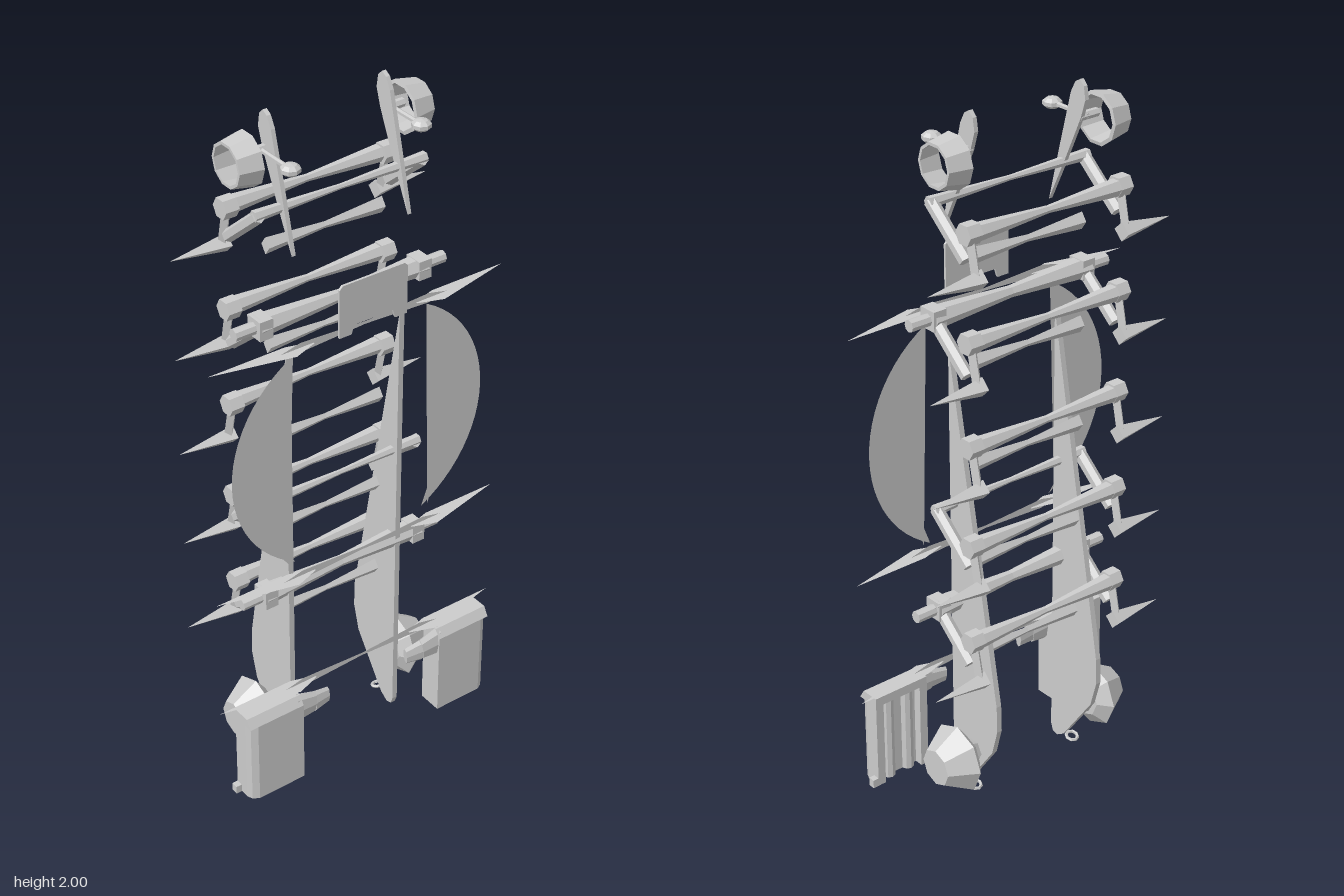
import * as THREE from 'three';

const solid = new THREE.MeshStandardMaterial({ color: 0xcccccc, flatShading: true });
const sheet = new THREE.MeshStandardMaterial({ color: 0xcccccc, flatShading: true, side: THREE.DoubleSide });
const V = (x, y, z) => new THREE.Vector3(x, y, z);
const UP = V(0, 1, 0);

export function createModel() {
  const model = new THREE.Group();

  function add(name, geometry, material = solid) {
    const mesh = new THREE.Mesh(geometry, material);
    mesh.name = name;
    model.add(mesh);
    return mesh;
  }

  // Tapered beam from point a to point b
  function beam(name, a, b, ra, rb, sides = 6, flat = 1) {
    const d = b.clone().sub(a);
    const g = new THREE.CylinderGeometry(rb, ra, d.length(), sides);
    g.scale(1, 1, flat);
    const m = add(name, g);
    m.position.copy(a).add(b).multiplyScalar(0.5);
    m.quaternion.setFromUnitVectors(UP, d.normalize());
    return m;
  }

  // Bow-tie rung: thick at both ends, thin in the middle
  function rung(name, y, z, half, rEnd, rMid, sides = 6, flat = 1) {
    for (const s of [-1, 1]) beam(name, V(s * half, y, z), V(0, y, z), rEnd, rMid, sides, flat);
  }

  // Flat profile drawn in (z, y), given thickness along x
  function sidePlate(name, pts, x, thick) {
    const g = new THREE.ExtrudeGeometry(new THREE.Shape(pts.map(p => new THREE.Vector2(...p))), { depth: thick, bevelEnabled: false });
    g.translate(0, 0, -thick / 2).rotateY(-Math.PI / 2);
    add(name, g).position.x = x;
  }

  // Five repeating rung units
  for (let i = 0; i < 5; i++) {
    const y = 0.565 + 0.29 * i;
    rung('rearRung', y, -0.125, 0.24, 0.025, 0.01);
    rung('innerRung', y - 0.1, -0.05, 0.18, 0.024, 0.01, 4, 0.7);
    for (const s of [-1, 1]) {
      const x = s * 0.245;
      // link with a hexagonal head and a spike at its foot
      beam('linkHead', V(x - 0.02, y, -0.12), V(x + 0.02, y, -0.12), 0.03, 0.03);
      beam('link', V(x, y, -0.12), V(x, y - 0.115, -0.145), 0.014, 0.014, 4);
      beam('spike', V(s * 0.23, y - 0.115, -0.146), V(s * 0.395, y - 0.115, -0.146), 0.027, 0.0005, 4);
    }
  }

  // Front rungs with diagonal struts; two of them are heavy and carry pegs
  for (const [y, heavy] of [[0.605, true], [0.905, false], [1.455, true], [1.765, false]]) {
    rung('frontRung', y, 0.02, 0.26, heavy ? 0.032 : 0.016, heavy ? 0.016 : 0.007);
    for (const s of [-1, 1]) {
      const x = s * 0.248;
      beam('strut', V(x, y, 0.025), V(x, y - 0.115, -0.11), 0.018, 0.018);
      if (heavy) {
        const block = add('pegBlock', new THREE.BoxGeometry(0.04, 0.055, 0.055));
        block.position.set(x, y, 0.022);
        beam('peg', V(x, y, 0.02), V(s * 0.328, y, 0.02), 0.017, 0.017, 8);
      }
    }
  }

  for (const s of [-1, 1]) {
    // Long lower blade and short upper blade
    sidePlate('lowerBlade', [[0.042, 1.35], [0.042, 0.03], [0.034, 0.008], [0.015, 0.003], [-0.012, 0.02],
      [-0.125, 0.18], [-0.147, 0.26], [-0.145, 0.34]], s * 0.18, 0.016);
    sidePlate('upperBlade', [[0.068, 1.65], [0.03, 1.8], [-0.012, 1.96], [-0.028, 1.99], [-0.045, 2],
      [-0.06, 1.985], [-0.066, 1.95], [-0.05, 1.9], [0.012, 1.765]], s * 0.177, 0.012);
    const hook = add('hook', new THREE.TorusGeometry(0.017, 0.005, 5, 8));
    hook.position.set(s * 0.18, 0.025, -0.04);
    hook.rotation.x = Math.PI / 2 - 0.3;

    // Open ring and knob on a stalk near the top
    const ringProfile = [[0.06, -0.032], [0.072, 0.032], [0.062, 0.034], [0.052, -0.032], [0.06, -0.032]];
    const ring = add('ring', new THREE.LatheGeometry(ringProfile.map(p => new THREE.Vector2(...p)), 10), sheet);
    ring.rotation.z = s * Math.PI / 2;
    ring.position.set(s * 0.26, 1.885, -0.045);
    beam('knobStalk', V(s * 0.195, 1.9, -0.05), V(s * 0.195, 1.9, 0.08), 0.007, 0.007);
    beam('ringMount', V(s * 0.175, 1.9, -0.04), V(s * 0.235, 1.9, -0.04), 0.012, 0.012);
    const knob = add('knob', new THREE.SphereGeometry(0.027, 8, 5));
    knob.scale.y = 0.6;
    knob.position.set(s * 0.195, 1.9, 0.085);

    // Faceted bulb at the foot
    beam('bulbInner', V(s * 0.215, 0.15, -0.045), V(s * 0.245, 0.15, -0.045), 0.06, 0.1, 8);
    beam('bulbOuter', V(s * 0.245, 0.15, -0.045), V(s * 0.322, 0.15, -0.045), 0.1, 0.054, 8);
    beam('bulbMount', V(s * 0.18, 0.15, -0.045), V(s * 0.22, 0.15, -0.045), 0.03, 0.05);

    // Thin half-disc panel
    const disc = new THREE.Shape();
    disc.moveTo(s * 0.23, 0.75);
    for (let i = 0; i <= 24; i++) {
      const a = (i / 24 - 0.5) * 2 * 1.075;
      disc.lineTo(s * (0.035 + 0.366 * Math.cos(a)), 1.073 + 0.366 * Math.sin(a));
    }
    disc.closePath();
    add('sidePanel', new THREE.ShapeGeometry(disc), sheet).position.z = 0.105;

    // Foot housing: plan section with rounded front corners and a recessed back
    const housing = new THREE.Shape([[0.41, 0.1], [0.41, 0.145], [0.403, 0.162], [0.385, 0.172], [0.235, 0.172],
      [0.235, 0.1], [0.26, 0.1], [0.26, 0.125], [0.385, 0.125], [0.385, 0.1]].map(p => new THREE.Vector2(s * p[0], p[1])));
    const hg = new THREE.ExtrudeGeometry(housing, { depth: 0.26, bevelEnabled: false });
    add('housing', hg.rotateX(Math.PI / 2)).position.y = 0.31;
    const cap = new THREE.ExtrudeGeometry(new THREE.Shape([[0.1, 0.31], [0.172, 0.31], [0.155, 0.337], [0.1, 0.337]]
      .map(p => new THREE.Vector2(...p))), { depth: 0.175, bevelEnabled: false });
    cap.translate(0, 0, -0.0875).rotateY(-Math.PI / 2);
    add('housingCap', cap).position.x = s * 0.3225;
    for (const x of [0.29, 0.355]) beam('housingRail', V(s * x, 0.05, 0.125), V(s * x, 0.31, 0.125), 0.018, 0.018, 8);
    add('housingFoot', new THREE.BoxGeometry(0.025, 0.025, 0.02)).position.set(s * 0.415, 0.062, 0.11);

    // Flattened nozzle on the inner side of the housing
    const nozzle = beam('nozzle', V(s * 0.25, 0.29, 0.15), V(s * 0.185, 0.283, 0.15), 0.05, 0.036, 8);
    nozzle.scale.z = 0.4;
    const tip = beam('nozzleTip', V(s * 0.185, 0.283, 0.15), V(s * 0.135, 0.28, 0.145), 0.034, 0.025, 8);
    tip.scale.z = 0.4;
  }

  // Thin pointed crosspieces: flat outer blades joined by an upright web
  for (const y of [0.343, 0.715, 1.425]) {
    for (const s of [-1, 1]) {
      const blade = new THREE.Shape([[0.46, 0.1], [0.23, 0.153], [0.16, 0.128], [0.16, 0.12], [0.23, 0.1]]
        .map(p => new THREE.Vector2(s * p[0], p[1])));
      add('crossBlade', new THREE.ShapeGeometry(blade).rotateX(Math.PI / 2), sheet).position.y = y;
      const web = new THREE.Shape([[0.26, 0], [0.2, 0.014], [0, 0.004], [0, -0.004], [0.2, -0.014]]
        .map(p => new THREE.Vector2(s * p[0], p[1])));
      add('crossWeb', new THREE.ShapeGeometry(web), sheet).position.set(0, y, 0.124);
    }
  }

  // Centre plate with clipped corners and a notch below
  const plate = new THREE.Shape([[-0.105, 1.432], [-0.068, 1.432], [-0.06, 1.457], [0.06, 1.457], [0.068, 1.432], [0.105, 1.432],
    [0.105, 1.57], [0.095, 1.58], [-0.095, 1.58], [-0.105, 1.57]].map(p => new THREE.Vector2(...p)));
  add('centrePlate', new THREE.ExtrudeGeometry(plate, { depth: 0.007, bevelEnabled: false })).position.z = 0.151;

  return model;
}
